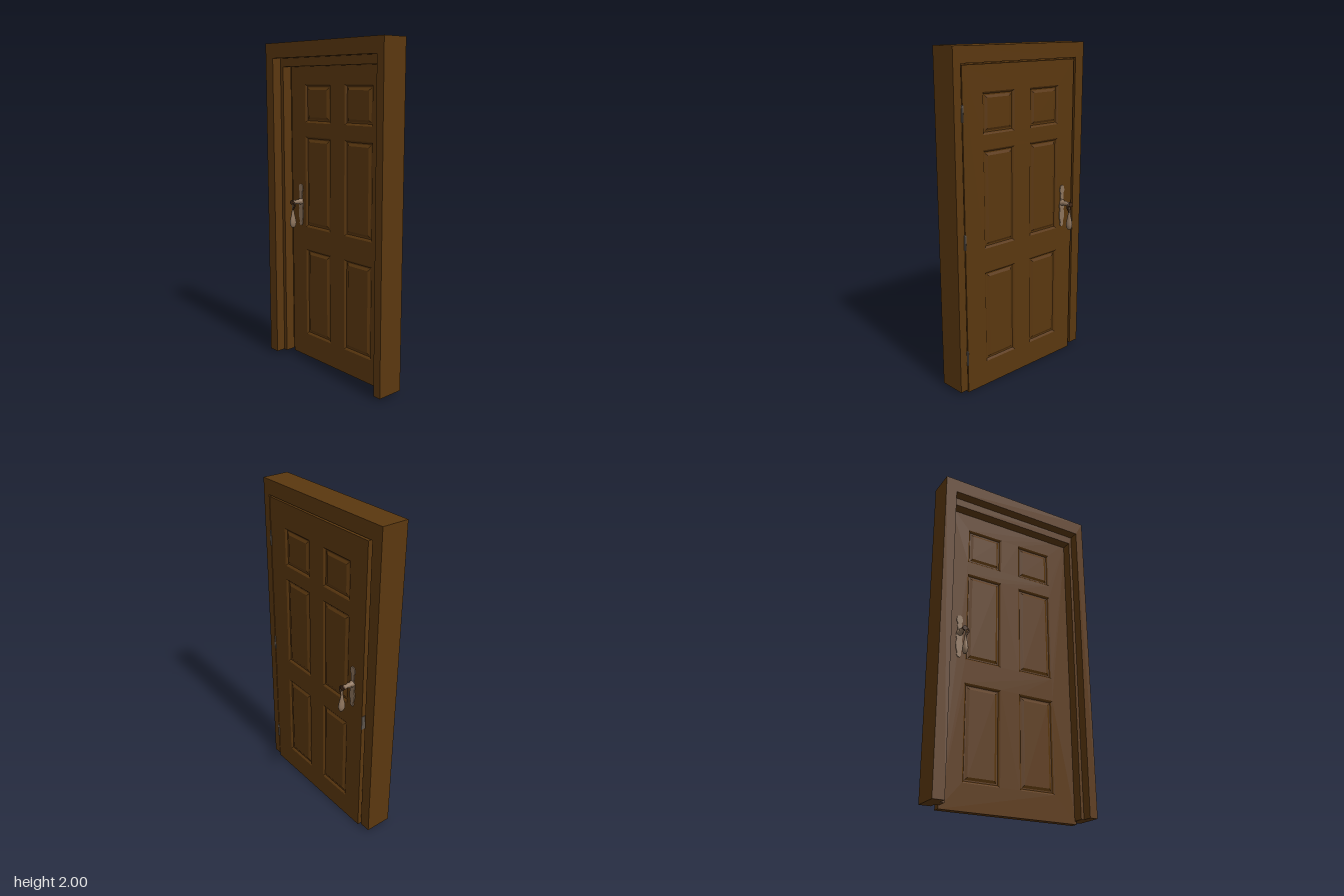
import * as THREE from 'three';

const paint = (name, color) => {
  const m = new THREE.MeshStandardMaterial({ color });
  m.name = name;
  return m;
};

export function createModel() {
  const wood = paint('brown wood', 0x5a370f);
  const bronze = paint('pale bronze', 0x8c735c);
  const darkMetal = paint('dark bronze', 0x452b17);
  const steel = paint('dull steel', 0x5c534b);

  const model = new THREE.Group();
  model.name = 'panelDoor';

  const add = (parent, name, geometry, material, x = 0, y = 0, z = 0) => {
    const mesh = new THREE.Mesh(geometry, material);
    mesh.name = name;
    mesh.position.set(x, y, z);
    parent.add(mesh);
    return mesh;
  };
  const polygon = (points) => new THREE.Shape(points.map(([x, y]) => new THREE.Vector2(x, y)));
  const extrude = (shape, depth) =>
    new THREE.ExtrudeGeometry(shape, { depth, bevelEnabled: false });
  // Upside-down U shape: outer edges, then the opening
  const arch = (x0, x1, top, in0, in1, inTop) => polygon([
    [x0, 0.018], [in0, 0.018], [in0, inTop], [in1, inTop],
    [in1, 0.018], [x1, 0.018], [x1, top], [x0, top],
  ]);

  // Frame with a door stop inside, turned very slightly
  const frame = new THREE.Group();
  frame.name = 'frame';
  frame.rotation.y = 0.006;
  model.add(frame);
  add(frame, 'jambsAndHeader',
    extrude(arch(-0.507, 0.507, 2, -0.437, 0.456, 1.91), 0.166), wood, 0, 0, -0.037);
  add(frame, 'doorStop',
    extrude(arch(-0.438, 0.457, 1.911, -0.411, 0.437, 1.86), 0.062), wood, 0, 0, 0.008);

  // Door leaf with six panel openings
  const BACK = -0.04, FRONT = 0.004;
  const door = new THREE.Group();
  door.name = 'door';
  model.add(door);
  const leaf = polygon([[-0.415, 0], [0.45, 0], [0.45, 1.902], [-0.415, 1.902]]);
  const columns = [[-0.283, -0.05], [0.075, 0.308]];
  const rows = [[0.152, 0.722], [0.865, 1.437], [1.522, 1.755]];

  // Moulded panel: rectangular loops of [inset, depth], closed by a flat field
  const panelLoops = [[0, 0], [0.006, -0.004], [0.012, -0.011], [0.02, -0.011], [0.034, -0.003]];
  const panelGeometry = (w, h) => {
    const corner = ([inset, d], i) => {
      const sx = i % 4 === 1 || i % 4 === 2 ? 1 : -1;
      const sy = i % 4 > 1 ? 1 : -1;
      return [sx * (w / 2 - inset), sy * (h / 2 - inset), d];
    };
    const pos = [];
    const quad = (a, b, c, d) => pos.push(...a, ...b, ...c, ...a, ...c, ...d);
    for (let k = 0; k < panelLoops.length - 1; k++) {
      const o = panelLoops[k], n = panelLoops[k + 1];
      for (let i = 0; i < 4; i++) quad(corner(o, i), corner(o, i + 1), corner(n, i + 1), corner(n, i));
    }
    const last = panelLoops[panelLoops.length - 1];
    quad(corner(last, 0), corner(last, 1), corner(last, 2), corner(last, 3));
    const g = new THREE.BufferGeometry();
    g.setAttribute('position', new THREE.Float32BufferAttribute(pos, 3));
    g.computeVertexNormals();
    return g;
  };

  for (const [x0, x1] of columns) {
    for (const [y0, y1] of rows) {
      const hole = new THREE.Path();
      hole.moveTo(x0, y0).lineTo(x0, y1).lineTo(x1, y1).lineTo(x1, y0).closePath();
      leaf.holes.push(hole);
      const g = panelGeometry(x1 - x0, y1 - y0);
      const cx = (x0 + x1) / 2, cy = (y0 + y1) / 2;
      add(door, 'frontPanel', g, wood, cx, cy, FRONT);
      add(door, 'backPanel', g, wood, cx, cy, BACK).rotation.y = Math.PI;
    }
  }
  add(door, 'leaf', extrude(leaf, FRONT - BACK), wood, 0, 0, BACK);

  // Ornate back plate outline: half widths along its height, mirrored
  const half = [[0.006, -0.13], [0.014, -0.118], [0.012, -0.1], [0.02, -0.075], [0.022, -0.045],
    [0.016, -0.02], [0.021, 0], [0.018, 0.025], [0.011, 0.045], [0.014, 0.07],
    [0.012, 0.085], [0.02, 0.1], [0.017, 0.125], [0.008, 0.135]];
  const plateShape = polygon([...half, ...half.map(([x, y]) => [-x, y]).reverse()]);
  const lathe = (pts) => new THREE.LatheGeometry(pts.map(([r, y]) => new THREE.Vector2(r, y)), 20);

  // Lever handle; "out" is +z, mirrored across the leaf for the back
  const makeHandle = (name, side) => {
    const handle = new THREE.Group();
    handle.name = name;
    handle.position.set(-0.328, 1.0, side > 0 ? FRONT : BACK);
    const s = side;
    add(handle, 'backPlate', extrude(plateShape, 0.005), bronze, 0, 0, s > 0 ? 0 : -0.005);
    const stem = add(handle, 'stem', lathe([[0.019, 0], [0.019, 0.008], [0.012, 0.016],
      [0.016, 0.028], [0.011, 0.042], [0.014, 0.056], [0.012, 0.068], [0, 0.068]]),
    bronze, 0, 0.024, s * 0.004);
    stem.rotation.x = s * Math.PI / 2;
    const cap = add(handle, 'stemCap', new THREE.CylinderGeometry(0.015, 0.015, 0.01, 16),
      darkMetal, 0, 0.024, s * 0.074);
    cap.rotation.x = Math.PI / 2;
    // Curved neck leading down into the hanging grip
    const neck = new THREE.CatmullRomCurve3([[-0.014, 0.016], [0, 0.028], [0.018, 0.024],
      [0.025, 0.01], [0.017, -0.006], [0.006, -0.022]]
      .map(([x, y]) => new THREE.Vector3(x, y, s * 0.074)));
    add(handle, 'neck', new THREE.TubeGeometry(neck, 24, 0.0055, 8), darkMetal);
    const grip = add(handle, 'grip', lathe([[0, -0.137], [0.012, -0.134], [0.02, -0.12],
      [0.023, -0.102], [0.019, -0.08], [0.012, -0.05], [0.007, -0.02], [0.005, 0.01], [0, 0.012]]),
    bronze, 0.006, 0, s * 0.074);
    grip.scale.x = 0.7;
    door.add(handle);
  };
  makeHandle('frontHandle', 1);
  makeHandle('backHandle', -1);

  // Latch plate on the door edge
  add(door, 'latchPlate', new THREE.BoxGeometry(0.004, 0.09, 0.03), steel, -0.416, 0.795, -0.026);

  // Hinges along the left edge
  for (const y of [0.222, 0.935, 1.65]) {
    add(model, 'hingeLeaf', new THREE.BoxGeometry(0.014, 0.088, 0.004), steel, 0.453, y, -0.041);
    add(model, 'hingeKnuckle', new THREE.CylinderGeometry(0.005, 0.005, 0.092, 12),
      steel, 0.452, y, -0.041);
  }
  return model;
}
